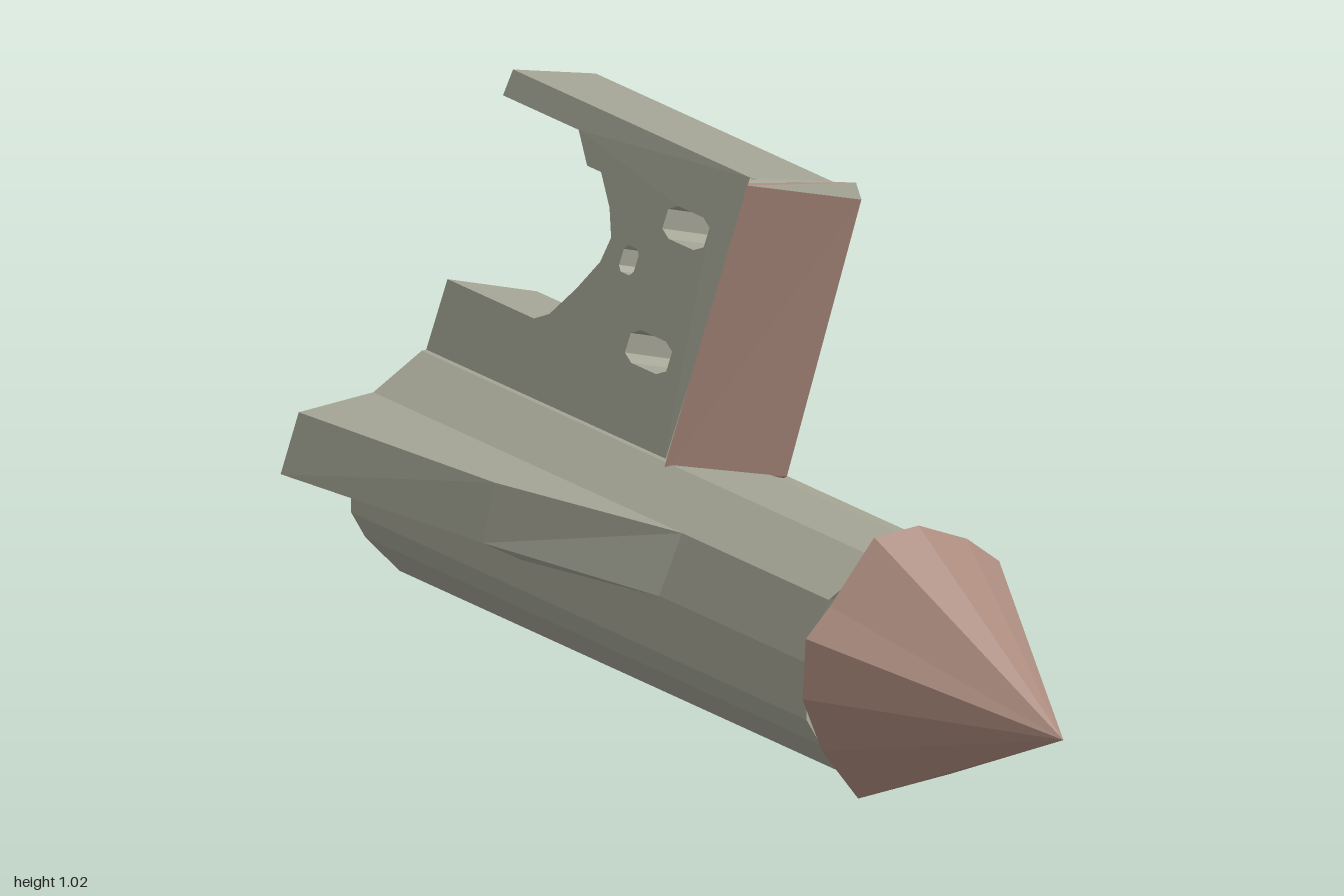
import * as THREE from 'three';

const flat = (name, color) => {
  const material = new THREE.MeshStandardMaterial({ color, side: THREE.DoubleSide, flatShading: true });
  material.name = name;
  return material;
};
const grey = flat('greyHull', 0xa3a494);
const brown = flat('brownTip', 0xa9897c);
const black = flat('blackMark', 0x050505);

function toGeometry(pos) {
  const g = new THREE.BufferGeometry();
  g.setAttribute('position', new THREE.Float32BufferAttribute(pos, 3));
  g.computeVertexNormals();
  return g;
}

// Skin between cross-sections, listed front to back; points run anticlockwise seen from the front
function loft(sections, closed = true) {
  const pos = [];
  for (let s = 0; s < sections.length - 1; s++) {
    const [a, b] = [sections[s], sections[s + 1]];
    const n = a.length;
    for (let i = 0; i < (closed ? n : n - 1); i++) {
      const j = (i + 1) % n;
      const quad = [a[i], b[i], b[j], a[j]];
      for (const k of [0, 1, 2, 0, 2, 3]) pos.push(...quad[k]);
    }
  }
  return toGeometry(pos);
}

// Flat polygon, anticlockwise seen from its outside
function polygon(points) {
  const pos = [];
  for (let i = 1; i < points.length - 1; i++) pos.push(...points[0], ...points[i], ...points[i + 1]);
  return toGeometry(pos);
}

const at = (points, z) => points.map(([x, y]) => [x, y, z]);

export function createModel() {
  const model = new THREE.Group();
  const add = (name, geometry, material) => {
    const mesh = new THREE.Mesh(geometry, material);
    mesh.name = name;
    model.add(mesh);
  };

  // Nose cone with a flattened underside
  const noseRim = [
    [0.02, 0.54], [-0.09, 0.54], [-0.2, 0.42], [-0.26, 0.365], [-0.268, 0.24], [-0.22, 0.12], [-0.13, 0],
    [0.1, 0], [0.2, 0.065], [0.255, 0.18], [0.265, 0.3], [0.22, 0.42], [0.14, 0.485],
  ];
  add('noseCone', loft([at(noseRim.map(() => [0, 0.24]), 1), at(noseRim, 0.505)]), brown);

  // Collar tapering from the nose to the body, closed behind
  const collarRim = noseRim.map(([x, y]) => [x * 0.88, y * 0.89]);
  add('collar', loft([at(noseRim, 0.505), at(collarRim, 0.47)]), grey);
  add('collarBack', polygon(at(collarRim, 0.47).reverse()), grey);

  // Faceted body, a shell open at the tail
  const hull = [
    [0.18, 0.42], [0.06, 0.48], [-0.06, 0.48], [-0.18, 0.42], [-0.235, 0.3], [-0.235, 0.18], [-0.2, 0.12],
    [-0.115, 0.03], [0.01, 0], [0.1, 0.03], [0.19, 0.12], [0.22, 0.18], [0.22, 0.3],
  ];
  add('body', loft([at(hull, 0.475), at(hull, -1)]), grey);

  // Side fin widening toward the tail, closed at its rear end
  const finStation = (z, top, outer) =>
    at([[-0.165, 0.42], [top, 0.42], [outer, 0.3], [-0.23, 0.24]], z);
  const finEnd = finStation(-1, -0.365, -0.41);
  add('sideFin', loft([
    finStation(0, -0.18, -0.237), finStation(-0.45, -0.3, -0.33), finEnd,
  ], false), grey);
  add('sideFinEnd', polygon([...finEnd].reverse()), grey);

  // Leaning plate: outline on its right face as (z, y), extruded through its thickness
  const lean = new THREE.Vector3(0.324, 0.946, 0).normalize();
  const v = (y) => (y - 0.965) / lean.y;
  const toPoints = (list) => list.map(([z, y]) => new THREE.Vector2(z, v(y)));
  const outline = new THREE.Shape(toPoints([
    [-0.225, 0.38], [-0.225, 0.965], [-1, 0.965], [-1, 0.9], [-0.755, 0.9], [-0.7, 0.845], [-0.655, 0.845],
    [-0.6, 0.79], [-0.57, 0.74], [-0.58, 0.69], [-0.625, 0.625], [-0.68, 0.56], [-0.72, 0.54], [-1, 0.54],
    [-1, 0.38],
  ]));
  const hole = (z, y, w, h) => outline.holes.push(new THREE.Path(toPoints([
    [z - w, y - h * 0.6], [z - w * 0.6, y - h], [z + w * 0.6, y - h], [z + w, y - h * 0.6],
    [z + w, y + h * 0.6], [z + w * 0.6, y + h], [z - w * 0.6, y + h], [z - w, y + h * 0.6],
  ])));
  hole(-0.365, 0.815, 0.067, 0.032);
  hole(-0.365, 0.572, 0.067, 0.032);
  hole(-0.5, 0.715, 0.024, 0.026);
  const plate = new THREE.ExtrudeGeometry(outline, { depth: 0.217, bevelEnabled: false });
  const p = plate.attributes.position;
  // Thicken the left face slightly toward the body
  for (let i = 0; i < p.count; i++) if (p.getZ(i) > 0.1) p.setZ(i, 0.217 - p.getY(i) * 0.04);
  const along = new THREE.Vector3(0, 0, 1);
  const across = new THREE.Vector3().crossVectors(along, lean);
  plate.applyMatrix4(new THREE.Matrix4().makeBasis(along, lean, across).setPosition(0.372, 0.965, 0));
  // Trim the upper left edge level
  for (let i = 0; i < p.count; i++) p.setY(i, Math.min(p.getY(i), 1.02));
  plate.computeVertexNormals();
  add('leaningPlate', plate, grey);

  // Wedge-shaped leading edge
  const z = -0.2;
  const tipTop = [0.265, 1.02, 0], tipBottom = [0.08, 0.48, 0];
  const rim = [[0.205, 0.38], [0.405, 0.965], [0.135, 1.02], [-0.08, 0.45]];
  const [rightBottom, rightTop, leftTop, leftBottom] = at(rim, z);
  add('wedgeRightFace', polygon([tipTop, tipBottom, rightBottom, rightTop]), brown);
  add('wedgeLeftFace', polygon([tipTop, leftTop, leftBottom, tipBottom]), brown);
  add('wedgeTop', polygon([tipTop, rightTop, leftTop]), grey);
  add('wedgeBottom', polygon([tipBottom, leftBottom, rightBottom]), brown);

  // Chamfered flange joining the wedge to the plate, with a brown front band
  const inner = [[0.172, 0.38], [0.372, 0.965], [0.165, 1.02], [-0.05, 0.45]];
  const middle = rim.map(([x, y], i) => [x * 0.65 + inner[i][0] * 0.35, y]);
  add('wedgeBand', loft([at(rim, z), at(middle, -0.21)]), brown);
  add('wedgeFlange', loft([at(middle, -0.21), at(inner, -0.23)]), grey);

  // Small dark patches on the right flank
  const patch = (name, lower, upper, front, back) =>
    add(name, loft([at([lower, upper], front), at([lower, upper], back)], false), black);
  patch('upperPatch', [0.224, 0.19], [0.224, 0.295], 0.295, 0.225);
  patch('upperPatchTopBar', [0.224, 0.285], [0.224, 0.3], 0.345, 0.295);
  patch('upperPatchLowBar', [0.224, 0.182], [0.224, 0.192], 0.345, 0.225);
  patch('lowerPatch', [0.137, 0.062], [0.187, 0.112], 0.29, 0.225);
  patch('rearPatch', [0.204, 0.137], [0.223, 0.175], 0.025, -0.04);
  patch('rearPatchBar', [0.198, 0.125], [0.203, 0.135], 0.075, -0.04);

  return model;
}
